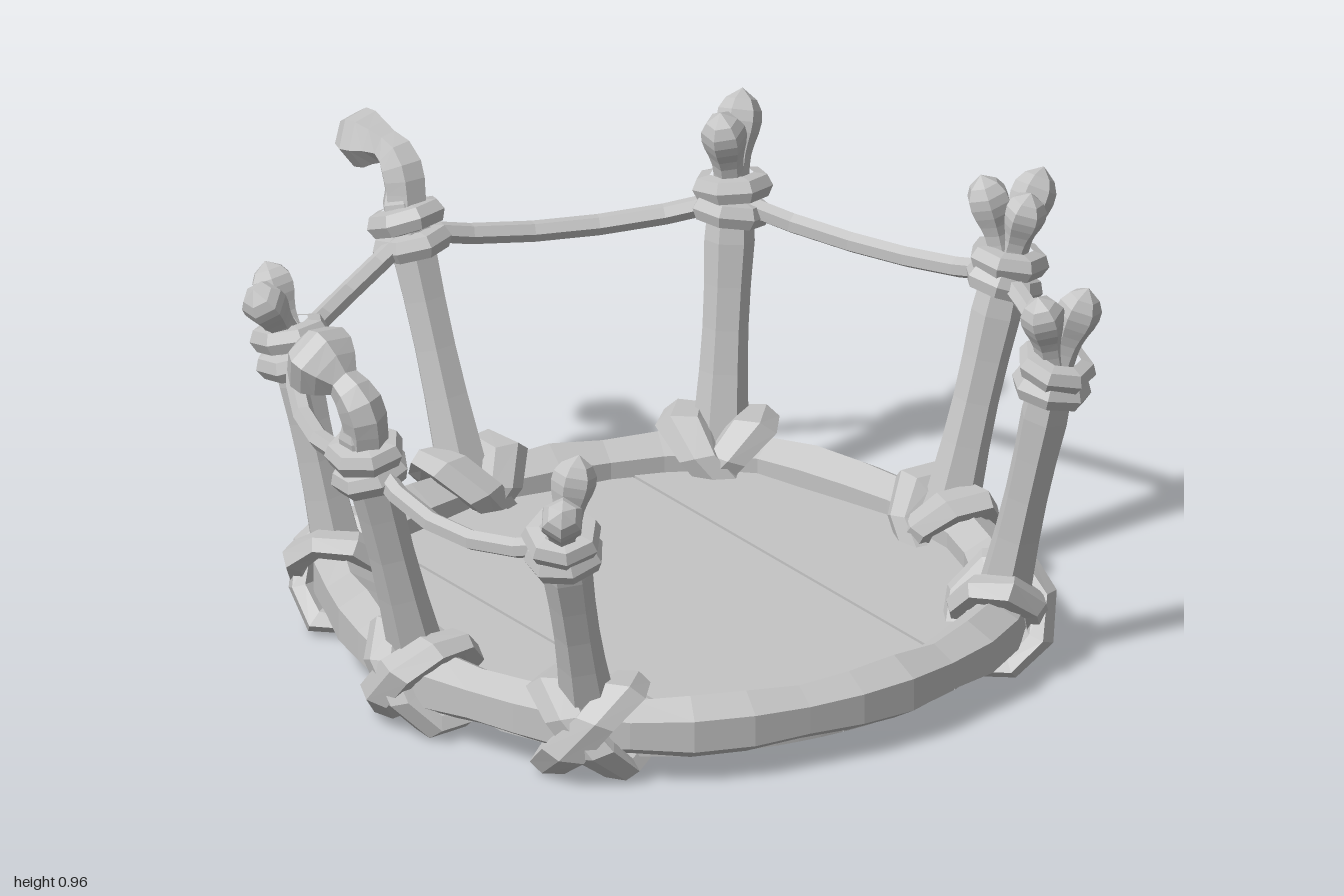
import * as THREE from 'three';

const V = (a) => new THREE.Vector3(...a);

export function createModel() {
  const model = new THREE.Group();
  model.name = 'bonePostPlatform';
  const grey = new THREE.MeshStandardMaterial({ color: 0xc4c4c4 });
  grey.name = 'plain grey';

  // Faceted mesh: split faces so every side gets its own normal
  function add(parent, name, geometry) {
    const g = geometry.index ? geometry.toNonIndexed() : geometry;
    g.computeVertexNormals();
    const mesh = new THREE.Mesh(g, grey);
    mesh.name = name;
    parent.add(mesh);
    return mesh;
  }

  // Tube whose radius changes from ring to ring
  function taperedTube(curve, segs, sides, radius, closed = false) {
    const g = new THREE.TubeGeometry(curve, segs, 1, sides, closed);
    const p = g.attributes.position, v = new THREE.Vector3();
    for (let i = 0; i < p.count; i++) {
      const ring = Math.floor(i / (sides + 1));
      const c = curve.getPointAt(ring / segs);
      v.fromBufferAttribute(p, i).sub(c).multiplyScalar(radius(ring % (closed ? segs : segs + 1))).add(c);
      p.setXYZ(i, v.x, v.y, v.z);
    }
    return g;
  }
  const path = (pts) => new THREE.CatmullRomCurve3(pts.map(V));

  // Rim: uneven hexagonal log bent into a closed ring
  const rimPoints = [
    [-0.02, 0.88], [0.33, 0.81], [0.54, 0.66], [0.66, 0.44], [0.71, 0.2], [0.65, -0.12],
    [0.54, -0.38], [0.33, -0.49], [-0.05, -0.55], [-0.38, -0.47], [-0.55, -0.33],
    [-0.66, -0.05], [-0.72, 0.22], [-0.66, 0.45], [-0.56, 0.67], [-0.38, 0.81],
  ];
  const rim = new THREE.CatmullRomCurve3(rimPoints.map(([x, z]) => new THREE.Vector3(x, 0.12, z)), true);
  add(model, 'rim', taperedTube(rim, 36, 6, (i) => 0.07 + 0.007 * Math.sin(i * 2.3), true));

  // Floor planks, cut to the rim line
  const rimSamples = rim.getSpacedPoints(240);
  function rimZ(x, front) {
    let best = 9, z = 0;
    for (const s of rimSamples) {
      if ((s.z > 0.2) !== front) continue;
      const d = Math.abs(s.x - x);
      if (d < best) { best = d; z = s.z; }
    }
    return z;
  }
  const seams = [-0.66, -0.37, -0.035, 0.3, 0.66];
  for (let k = 0; k < 4; k++) {
    const x0 = seams[k] + 0.0015, x1 = seams[k + 1] - 0.0015;
    const front = [], back = [];
    for (let j = 0; j <= 6; j++) {
      const x = x0 + (x1 - x0) * j / 6;
      front.push(new THREE.Vector2(x, -rimZ(x, true)));
      back.unshift(new THREE.Vector2(x, -rimZ(x, false)));
    }
    const g = new THREE.ExtrudeGeometry(new THREE.Shape([...front, ...back]),
      { depth: 0.065 + 0.004 * (k % 2), bevelEnabled: false });
    g.rotateX(-Math.PI / 2);
    g.translate(0, 0.048, 0);
    add(model, 'floorPlank', g);
  }

  // Posts: foot on the rim, collar centre, and the paths of the knuckles on top
  const posts = [
    { name: 'frontRightPost', foot: [-0.56, 0.66], collar: [-0.7, 0.61, 0.76],
      tips: [[-0.785, 0.755, 0.88], [-0.665, 0.825, 0.77]] },
    { name: 'rightPost', foot: [-0.71, 0.22], collar: [-0.855, 0.66, 0.22],
      bent: [[-0.885, 0.81, 0.23], [-0.925, 0.91, 0.05]], size: 1.5 },
    { name: 'backRightPost', foot: [-0.53, -0.36], collar: [-0.6, 0.64, -0.45],
      tips: [[-0.72, 0.81, -0.43], [-0.62, 0.82, -0.53]] },
    { name: 'backPost', foot: [-0.06, -0.56], collar: [-0.1, 0.7, -0.73],
      bent: [[-0.1, 0.86, -0.78], [-0.13, 0.865, -0.95]], size: 1.15 },
    { name: 'backLeftPost', foot: [0.51, -0.41], collar: [0.59, 0.7, -0.48],
      tips: [[0.66, 0.925, -0.54], [0.54, 0.925, -0.45]] },
    { name: 'leftPost', foot: [0.7, 0.2], collar: [0.86, 0.7, 0.2],
      tips: [[0.82, 0.925, 0.16], [0.975, 0.915, 0.18], [0.9, 0.89, 0.24]] },
    { name: 'frontLeftPost', foot: [0.53, 0.66], collar: [0.6, 0.71, 0.77],
      tips: [[0.545, 0.92, 0.79], [0.66, 0.925, 0.82]] },
  ];
  const knuckle = [0.04, 0.036, 0.035, 0.034, 0.035, 0.04, 0.047, 0.051, 0.049, 0.035, 0];
  const bentKnuckle = [0.045, 0.045, 0.045, 0.045, 0.047, 0.047, 0.042, 0.036, 0.044, 0.056, 0.058, 0.044, 0];
  const up = new THREE.Vector3(0, 1, 0);

  posts.forEach((post, n) => {
    const group = new THREE.Group();
    group.name = post.name;
    model.add(group);
    const foot = new THREE.Vector3(post.foot[0], 0.12, post.foot[1]);
    const collar = V(post.collar);
    const dir = collar.clone().sub(foot).normalize();

    // Shaft, running higher where a bent knob leans off it
    const top = collar.clone().addScaledVector(dir, post.bent ? 0.18 : 0.1);
    const shaftRadii = [0.066, 0.06, 0.054, 0.051, 0.052, 0.056, 0.05, 0];
    add(group, 'shaft', taperedTube(new THREE.LineCurve3(foot, top), 7, 6, (i) => shaftRadii[i]));

    // Collar of two lashed rings, each slightly tilted
    for (const s of [-1, 1]) {
      const ring = new THREE.LatheGeometry(
        [[0.05, -0.03], [0.08, -0.025], [0.092, 0], [0.08, 0.025], [0.05, 0.03]]
          .map(([x, y]) => new THREE.Vector2(x, y)), 7);
      const mesh = add(group, 'collarRing', ring);
      mesh.position.copy(collar).addScaledVector(dir, s * 0.027);
      mesh.quaternion.setFromUnitVectors(up, dir);
      mesh.rotateY(n + s * 0.4);
      mesh.rotateX(s * 0.1);
    }

    // Knuckles: a forked cluster, or one large bent knob
    if (post.bent) {
      add(group, 'bentKnob', taperedTube(path([post.collar, ...post.bent]), 12, 6,
        (i) => bentKnuckle[i] * (i > 7 ? post.size : 1.1)));
    } else {
      for (const tip of post.tips) {
        const t = V(tip);
        const bend = collar.clone().lerp(t, 0.45).addScaledVector(dir, 0.01);
        add(group, 'knuckle', taperedTube(new THREE.CatmullRomCurve3([collar, bend, t]), 10, 6, (i) => knuckle[i]));
      }
    }

    // Crossed straps looped around the rim at the foot
    const cross = new THREE.Group();
    cross.name = 'footLashing';
    cross.position.copy(foot);
    cross.rotation.y = Math.atan2(foot.x, foot.z - 0.16);
    group.add(cross);
    for (const s of [-1, 1]) {
      const loop = [];
      for (let j = 0; j < 8; j++) {
        const a = (j + 0.5) / 8 * Math.PI * 2;
        const y = Math.sin(a) * 0.096;
        loop.push(new THREE.Vector3(s * y * 0.5, y, Math.cos(a) * (0.096 + s * 0.006)));
      }
      const g = taperedTube(new THREE.CatmullRomCurve3(loop, true), 8, 6,
        (i) => 0.031 + 0.004 * Math.sin(i * 2 + n), true);
      g.scale(1.75, 1, 1);
      add(cross, 'strap', g);
    }
  });

  // Sagging ropes from collar to collar, leaving the front open
  const centre = new THREE.Vector3(0, 0, 0.16);
  const outward = (p) => p.clone().sub(centre).setY(0).normalize();
  for (let n = 0; n < posts.length - 1; n++) {
    const a = V(posts[n].collar), b = V(posts[n + 1].collar);
    const pts = [0, 0.25, 0.5, 0.75, 1].map((t) => {
      const p = a.clone().lerp(b, t);
      const arc = 4 * t * (1 - t);
      p.addScaledVector(outward(p), 0.055 * arc - 0.01);
      p.y -= 0.055 * arc;
      return p;
    });
    add(model, 'rope', taperedTube(new THREE.CatmullRomCurve3(pts), 5, 6, () => 0.024));
  }
  return model;
}
